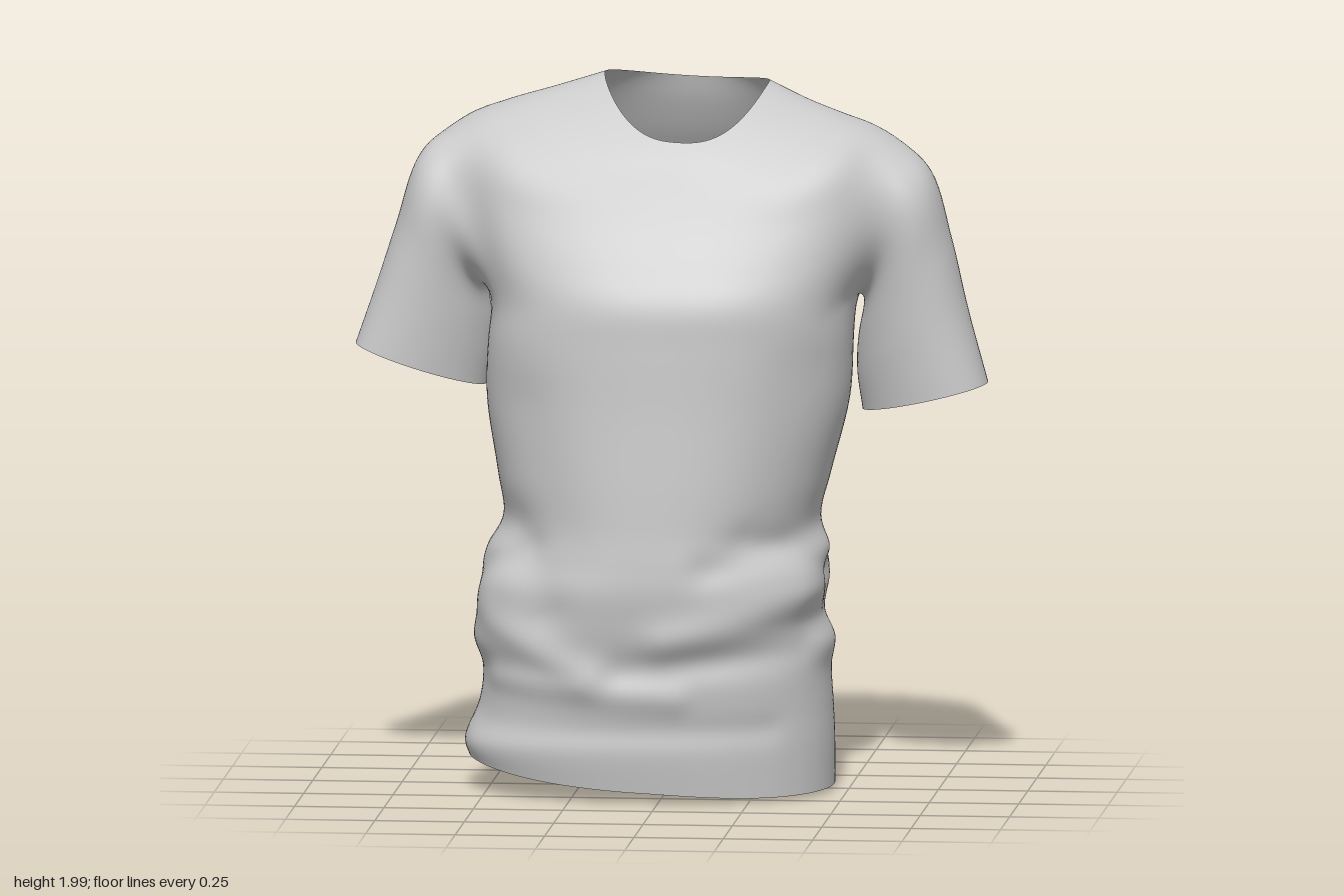
import * as THREE from 'three';

const COLS = 128, STEP = 6, SLEEVE_STEPS = 30, ARM_COLS = 9;

// Lower body rings: y, right x, left x, front z, back z, squareness at front, back
const body = [
  [0.15, -0.57, 0.46, 0.38, -0.335, 2.3, 2.1],
  [0.25, -0.53, 0.455, 0.385, -0.33, 2.3, 2.2],
  [0.35, -0.52, 0.45, 0.4, -0.33, 2.3, 2.2],
  [0.43, -0.545, 0.46, 0.405, -0.295, 2.3, 2.3],
  [0.51, -0.535, 0.43, 0.42, -0.33, 2.3, 2.3],
  [0.6, -0.535, 0.45, 0.435, -0.355, 2.3, 2.3],
  [0.68, -0.51, 0.455, 0.435, -0.38, 2.2, 2.2],
  [0.77, -0.465, 0.42, 0.43, -0.4, 2.2, 2.1],
  [0.9, -0.48, 0.45, 0.425, -0.415, 2.2, 2.1],
  [1.1, -0.51, 0.5, 0.415, -0.425, 2.2, 2.2],
  [1.28, -0.505, 0.51, 0.41, -0.43, 2.35, 2.5],
].map(([y, xr, xl, zf, zb, nf, nb]) => [xr, xl, zf, zb, 0, y, y, y, y, nf, nb]);

// Full rings: right x, left x, front z, back z, side z,
// then y at right, left, front, back, then squareness at front, back
const hem = [-0.56, 0.46, 0.36, -0.36, 0, 0.1, 0.02, 0.035, 0.014, 2.3, 2.1];
const yoke = [
  [-0.5, 0.52, 0.402, -0.434, -0.05, 1.4, 1.4, 1.4, 1.4, 2.5, 2.8],
  [-0.56, 0.57, 0.355, -0.432, -0.1, 1.54, 1.53, 1.5, 1.52, 2.5, 3],
  [-0.605, 0.61, 0.292, -0.402, -0.12, 1.69, 1.67, 1.61, 1.62, 2.5, 3],
  [-0.62, 0.62, 0.25, -0.355, -0.12, 1.845, 1.825, 1.69, 1.72, 2.4, 2.8],
  [-0.48, 0.49, 0.218, -0.3, -0.11, 1.908, 1.88, 1.755, 1.81, 2.3, 2.3],
  [-0.33, 0.38, 0.195, -0.255, -0.1, 1.955, 1.925, 1.8, 1.9, 2.1, 2.1],
  [-0.19, 0.27, 0.175, -0.23, -0.09, 2, 1.98, 1.84, 1.97, 2, 2],
];
const rings = [hem, ...body, ...yoke];
const ROWS = (rings.length - 1) * STEP;
const ARM_LOW = (body.length + 1) * STEP, ARM_HIGH = ARM_LOW + 3 * STEP;

// Cloth folds: facing axis and sign, start and end (across, y), width, height.
// Across is x for front and back folds, z for side folds.
const folds = [
  ['z', 1, 0.02, 0.46, 0.4, 0.57, 0.06, 0.02],
  ['z', 1, 0.15, 0.67, 0.42, 0.73, 0.05, -0.014],
  ['z', 1, -0.1, 0.38, 0.4, 0.43, 0.05, -0.016],
  ['z', 1, -0.5, 0.52, -0.2, 0.36, 0.05, 0.014],
  ['z', 1, -0.45, 0.34, 0.05, 0.3, 0.04, 0.01],
  ['z', 1, -0.5, 0.2, 0.3, 0.21, 0.04, -0.008],
  ['z', 1, -0.42, 0.75, -0.32, 0.55, 0.08, -0.018],
  ['z', 1, -0.28, 0.7, -0.38, 1.1, 0.1, -0.01],
  ['z', 1, 0.32, 0.8, 0.4, 1.2, 0.1, -0.008],
  ['z', -1, 0.42, 0.68, 0.1, 0.47, 0.05, -0.016],
  ['z', -1, -0.45, 0.62, 0.1, 0.47, 0.045, -0.014],
  ['z', -1, -0.4, 0.72, 0.05, 0.6, 0.06, 0.014],
  ['z', -1, 0.02, 0.75, 0.02, 1.5, 0.1, -0.016],
  ['z', -1, -0.3, 0.8, -0.36, 1.3, 0.08, -0.008],
  ['z', -1, 0.3, 0.8, 0.34, 1.35, 0.08, 0.01],
  ['x', 1, 0.35, 0.74, 0, 0.62, 0.05, -0.014],
  ['x', 1, 0, 0.62, -0.28, 0.8, 0.05, -0.014],
  ['x', -1, 0.3, 0.7, -0.05, 0.56, 0.05, -0.012],
  ['x', -1, -0.05, 0.56, -0.3, 0.68, 0.05, -0.012],
].map(([axis, sign, a0, y0, a1, y1, width, height]) => ({
  axis, sign, width, height,
  line: new THREE.Line3(new THREE.Vector3(a0, y0, 0), new THREE.Vector3(a1, y1, 0)),
}));

// Sleeve sections: outer x, y, inner x, y, front z, back z
const leftSections = [
  [0.715, 1.75, 0.53, 1.37, 0.075, -0.34],
  [0.778, 1.54, 0.51, 1.27, 0.05, -0.33],
  [0.825, 1.34, 0.505, 1.16, 0.035, -0.315],
  [0.88, 1.14, 0.52, 1.05, 0.025, -0.3],
];
const rightSections = [
  [0.7, 1.79, 0.525, 1.38, 0.11, -0.305],
  [0.768, 1.58, 0.51, 1.3, 0.095, -0.27],
  [0.822, 1.41, 0.51, 1.21, 0.085, -0.23],
  [0.88, 1.24, 0.525, 1.115, 0.08, -0.195],
];
const SLEEVE_SKEW = 0.05;

// Smooth blend between neighbouring rings
function ringAt(row) {
  const i = Math.min(Math.floor(row / STEP), rings.length - 2), t = row / STEP - i;
  const at = (k) => rings[THREE.MathUtils.clamp(k, 0, rings.length - 1)];
  return rings[i].map((b, n) => {
    const a = at(i - 1)[n], c = at(i + 1)[n], d = at(i + 2)[n];
    return b + 0.5 * t * (c - a + t * (2 * a - 5 * b + 4 * c - d + t * (3 * (b - c) + d - a)));
  });
}

function torsoPoint(ring, angle) {
  const [xr, xl, zf, zb, zc, yr, yl, yf, yb, nf, nb] = ring;
  const c = Math.cos(angle), s = Math.sin(angle), cx = (xr + xl) / 2;
  const bend = (v) => Math.sign(v) * Math.abs(v) ** (2 / (s > 0 ? nf : nb));
  const sideways = Math.abs(c) ** (s > 0 ? 2.7 : 2);
  const p = new THREE.Vector3(
    cx + ((xl - xr) / 2) * bend(c),
    THREE.MathUtils.lerp(s > 0 ? yf : yb, (yl + yr) / 2, sideways) + ((yl - yr) / 2) * c,
    zc + Math.abs((s > 0 ? zf : zb) - zc) * bend(s));
  const out = new THREE.Vector3(p.x - cx, 0, p.z - zc).normalize();
  const { x, y, z } = p, flat = new THREE.Vector3(), near = new THREE.Vector3();
  for (const f of folds) {
    const facing = THREE.MathUtils.clamp((f.axis === 'z' ? s : c) * f.sign * 2, 0, 1);
    flat.set(f.axis === 'z' ? x : z, y, 0);
    const d = f.line.closestPointToPoint(flat, true, near).distanceTo(flat) / f.width;
    p.addScaledVector(out, facing * f.height * Math.exp(-d * d));
  }
  return p;
}

// Relax the cloth around the armhole seams so sleeves flow into the body
function relaxSeams(points, faces) {
  const links = points.map(() => new Set());
  for (let i = 0; i < faces.length; i += 3) {
    for (let k = 0; k < 3; k++) {
      const a = faces[i + k], b = faces[i + ((k + 1) % 3)];
      links[a].add(b);
      links[b].add(a);
    }
  }
  const seam = new THREE.Line3(new THREE.Vector3(0.54, 1.43, 0), new THREE.Vector3(0.6, 1.78, 0));
  const near = new THREE.Vector3();
  const weights = points.map((p) => {
    const flat = new THREE.Vector3(Math.abs(p.x), p.y, 0);
    const d = seam.closestPointToPoint(flat, true, near).distanceTo(flat) / 0.1;
    return 0.7 * Math.exp(-d * d);
  });
  for (let pass = 0; pass < 24; pass++) {
    const old = points.map((p) => p.clone());
    points.forEach((p, i) => {
      if (weights[i] < 0.01 || !links[i].size) return;
      const mean = new THREE.Vector3();
      for (const j of links[i]) mean.add(old[j]);
      p.lerp(mean.divideScalar(links[i].size), weights[i]);
    });
  }
}

export function createModel() {
  const points = [];
  const torso = [];
  const id = (col, row) => row * COLS + ((col + COLS) % COLS);
  const quad = (list, a, b, up, upB) => list.push(a, up, b, b, up, upB);

  // Torso grid, leaving an armhole on each side
  for (let row = 0; row <= ROWS; row++) {
    const ring = ringAt(row);
    for (let col = 0; col < COLS; col++) points.push(torsoPoint(ring, (col / COLS) * Math.PI * 2));
  }
  for (let row = 0; row < ROWS; row++) {
    for (let col = 0; col < COLS; col++) {
      const fromSide = (col + ARM_COLS) % (COLS / 2);
      if (row >= ARM_LOW && row < ARM_HIGH && fromSide < 2 * ARM_COLS) continue;
      quad(torso, id(col, row), id(col + 1, row), id(col, row + 1), id(col + 1, row + 1));
    }
  }

  // Sleeve lofted from the armhole edge to the cuff
  function sleeve(side, sections) {
    const mid = side > 0 ? 0 : COLS / 2, loop = [], faces = [];
    const halfRows = (ARM_HIGH - ARM_LOW) / 2;
    for (let c = -ARM_COLS; c < ARM_COLS; c++) loop.push([c, -halfRows]);
    for (let r = -halfRows; r < halfRows; r++) loop.push([ARM_COLS, r]);
    for (let c = ARM_COLS; c > -ARM_COLS; c--) loop.push([c, halfRows]);
    for (let r = halfRows; r > -halfRows; r--) loop.push([-ARM_COLS, r]);

    const strands = loop.map(([c, r]) => {
      const start = id(mid + c, ARM_LOW + halfRows + r);
      const dir = new THREE.Vector2((c / ARM_COLS) * side, r / halfRows).normalize();
      const path = sections.map(([ox, oy, ix, iy, zf, zb]) => new THREE.Vector3(
        side * ((ox + ix) / 2 + ((ox - ix) / 2) * dir.y),
        (oy + iy) / 2 + ((oy - iy) / 2) * dir.y,
        (zf + zb) / 2 + ((zf - zb) / 2) * dir.x + SLEEVE_SKEW * dir.y));
      const curve = new THREE.CatmullRomCurve3([points[start].clone(), ...path]);
      const strand = [start];
      for (const p of curve.getPoints(SLEEVE_STEPS).slice(1)) strand.push(points.push(p) - 1);
      return strand;
    });
    strands.forEach((a, k) => {
      const b = strands[(k + 1) % strands.length];
      for (let s = 0; s < SLEEVE_STEPS; s++) quad(faces, a[s], b[s], a[s + 1], b[s + 1]);
    });
    return faces;
  }
  const leftSleeve = sleeve(1, leftSections);
  const rightSleeve = sleeve(-1, rightSections);

  // Shared normals keep the shoulder joins smooth
  const allFaces = [...torso, ...leftSleeve, ...rightSleeve];
  relaxSeams(points, allFaces);
  const whole = new THREE.BufferGeometry().setFromPoints(points);
  whole.setIndex(allFaces);
  whole.computeVertexNormals();

  const cloth = new THREE.MeshStandardMaterial({ color: 0xcccccc, side: THREE.DoubleSide });
  const group = new THREE.Group();
  group.name = 'shirt';
  for (const [name, faces] of Object.entries({ torso, leftSleeve, rightSleeve })) {
    const part = new THREE.BufferGeometry();
    part.setAttribute('position', whole.getAttribute('position'));
    part.setAttribute('normal', whole.getAttribute('normal'));
    part.setIndex(faces);
    const mesh = new THREE.Mesh(part, cloth);
    mesh.name = name;
    group.add(mesh);
  }
  return group;
}
